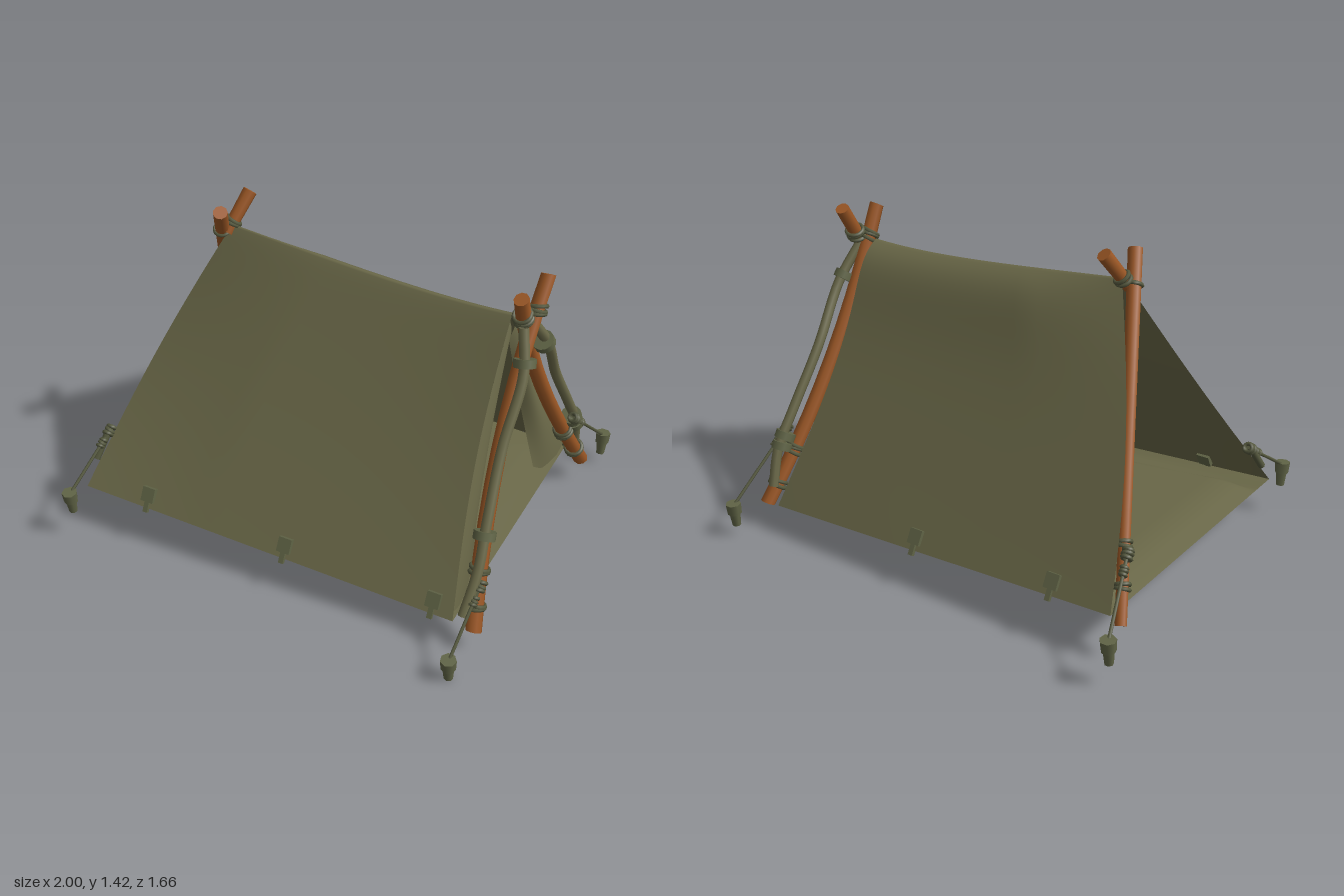
import * as THREE from 'three';

const DS = THREE.DoubleSide;
const canvas = new THREE.MeshStandardMaterial({ color: 0x6a6848, side: DS });
canvas.name = 'olive canvas';
const wood = new THREE.MeshStandardMaterial({ color: 0x9b5725 });
wood.name = 'brown wood';
const webbing = new THREE.MeshStandardMaterial({ color: 0x606446 });
webbing.name = 'olive webbing';
const cord = new THREE.MeshStandardMaterial({ color: 0x55583e });
cord.name = 'dark olive cord';

const V = (x, y, z) => new THREE.Vector3(x, y, z);
const { lerp, smoothstep, clamp } = THREE.MathUtils;
const UP = V(0, 1, 0);

function add(parent, name, geo, mat) {
  const m = new THREE.Mesh(geo, mat);
  m.name = name;
  parent.add(m);
  return m;
}

// Sheet whose points follow f(u, v), both running 0..1
function sheet(parent, name, nu, nv, f) {
  const g = new THREE.PlaneGeometry(1, 1, nu, nv);
  const p = g.attributes.position;
  for (let i = 0; i < p.count; i++) {
    const q = f(p.getX(i) + 0.5, 0.5 - p.getY(i));
    p.setXYZ(i, q.x, q.y, q.z);
  }
  g.computeVertexNormals();
  return add(parent, name, g, canvas);
}

// Round bar from a to b
function bar(parent, name, a, b, ra, rb, mat, sides = 9) {
  const m = add(parent, name, new THREE.CylinderGeometry(rb, ra, a.distanceTo(b), sides, 10), mat);
  m.position.copy(a).lerp(b, 0.5);
  m.quaternion.setFromUnitVectors(UP, b.clone().sub(a).normalize());
  return m;
}

// Pole that bows sideways in x between its ends
const bow = (p, t) => -p.bend * 4 * t * (1 - t);
const poleAt = (p, t) => p.a.clone().lerp(p.b, t).add(V(bow(p, t), 0, 0));
function pole(parent, name, p) {
  const m = bar(parent, name, p.a, p.b, p.radius, 0.031, wood);
  m.updateMatrix();
  m.geometry.applyMatrix4(m.matrix);
  m.position.set(0, 0, 0);
  m.quaternion.identity();
  const pos = m.geometry.attributes.position;
  for (let i = 0; i < pos.count; i++) {
    const t = clamp((pos.getY(i) - p.a.y) / (p.b.y - p.a.y), 0, 1);
    pos.setX(i, pos.getX(i) + bow(p, t));
  }
}

// Turns of cord around a line, centred at c
function wrap(parent, name, c, dir, radius, turns = 3, thick = 0.009) {
  for (let i = 0; i < turns; i++) {
    const m = add(parent, name, new THREE.TorusGeometry(radius, thick, 6, 14), cord);
    m.position.copy(c).addScaledVector(dir, (i - (turns - 1) / 2) * thick * 1.8);
    const tilt = dir.clone().add(V(0.12 * (i % 2 ? 1 : -1), 0, 0.08)).normalize();
    m.quaternion.setFromUnitVectors(V(0, 0, 1), tilt);
  }
}

// Shared outline of the cloth
const bottomY = x => lerp(0.21, 0.13, (x + 0.89) / 1.73);
const ridgeY = u => 1.298 - 0.125 * u + 0.05 * u ** 4;
const leftX = d => lerp(-0.5, -0.89, d) - 0.042 * Math.sin(Math.PI * d);
const rightX = d => lerp(0.755, 0.835, d) - 0.035 * Math.sin(Math.PI * d);

// Point on the roof: u along the ridge, d down the slope, s = 1 front, -1 back
function roofPoint(u, d, s) {
  const x = lerp(leftX(d), rightX(d), u);
  const hemZ = s > 0 ? lerp(0.68, 0.61, u) : -0.66;
  // the front sags inward at its left edge, the back is full below the ridge
  const sag = s > 0
    ? Math.sin(Math.PI * d) * lerp(0.055, 0.012, Math.min(1, u * 3))
    : -0.045 * Math.min(1, u * 3) * d * 10 * Math.exp(1 - d * 10);
  const y = lerp(ridgeY(u), bottomY(x), d) - 0.012 * Math.exp(-d * 30);
  return V(x, y, lerp(-0.02 * u, hemZ, d) - s * sag);
}

export function createModel() {
  const tent = new THREE.Group();
  tent.name = 'tent';

  // Roof cloth, finer near the rounded ridge
  sheet(tent, 'roofCloth', 24, 56, (u, v) => {
    const k = 1 - 2 * v;
    return roofPoint(u, Math.abs(k) ** 1.4, k >= 0 ? 1 : -1);
  });

  // Floor, raised inside a long fold that runs beside the front hem
  sheet(tent, 'floorCloth', 24, 60, (u, v) => {
    const x = lerp(-0.89, 0.835, u);
    const z = lerp(-0.66, lerp(0.68, 0.61, u), v);
    const foldV = lerp(0.9, 0.84, u);
    const step = smoothstep(v, foldV - 0.02, foldV + 0.02);
    const ends = smoothstep(u, 0, 0.08) * (1 - smoothstep(u, 0.9, 1));
    const rise = ends * lerp(0.037, 0.01, u) * smoothstep(v, 0, 0.1) * (1 - step);
    const lip = 0.018 * step * (1 - smoothstep(v, 0.97, 1)) * Math.sin(Math.PI * u);
    return V(x, bottomY(x) + rise - lip, z);
  });

  // Poles: a crossed pair at the right, one pole and a stub at the left
  const pf = { a: V(0.92, 0.1, 0.59), b: V(0.85, 1.36, -0.13), radius: 0.034, bend: 0.05 };
  const pb = { a: V(0.92, 0.11, -0.64), b: V(0.815, 1.34, 0.06), radius: 0.034, bend: 0.06 };
  const pl = { a: V(-0.92, 0.16, -0.63), b: V(-0.505, 1.385, 0.09), radius: 0.024, bend: 0 };
  const ps = { a: V(-0.525, 1.25, 0.015), b: V(-0.475, 1.405, -0.1), radius: 0.027, bend: 0 };
  [pf, pb, pl].forEach(p => pole(tent, 'pole', p));
  pole(tent, 'poleStub', ps);

  // Lashings where the poles cross and near their feet: pole, position, radius, turns
  const lashings = [
    [pf, 0.9, 0.037, 3], [pb, 0.9, 0.037, 3], [pl, 0.9, 0.032, 1], [ps, 0.25, 0.032, 2],
    [pf, 0.07, 0.037, 2], [pf, 0.17, 0.038, 2], [pb, 0.07, 0.037, 2], [pb, 0.19, 0.038, 3],
    [pl, 0.1, 0.028, 2], [pl, 0.21, 0.028, 2],
  ];
  for (const [p, t, r, n] of lashings) {
    wrap(tent, 'poleLashing', poleAt(p, t), p.b.clone().sub(p.a).normalize(), r, n);
  }

  // Right end: tied-back door flaps, rolled cloth and straps
  for (const s of [1, -1]) {
    const side = s > 0 ? 'front' : 'back';
    const inner = s > 0 ? 0.27 : 0.39;
    const curve = s > 0 ? 0.01 : 0.05;
    sheet(tent, side + 'DoorFlap', 12, 20, (u, v) => {
      const edge = roofPoint(1, lerp(0.03, 0.97, v), s);
      const zIn = s * (inner * v + curve * Math.sin(Math.PI * v));
      const lift = v * v * (s > 0 ? 0.08 : 0.02) * u ** 4;
      const dip = -0.045 * v * v * Math.sin(Math.PI * u);
      const out = 0.03 * Math.sin(Math.PI * u) * Math.sin(Math.PI * Math.min(1, v * 0.8 + 0.1));
      return V(edge.x + out - 0.05 * u * v, Math.max(0.118, edge.y + lift + dip - 0.08 * u * (1 - v)),
        lerp(edge.z, zIn, u));
    });

    // Gathered cloth beside the pole
    const shift = s > 0 ? -0.005 : 0.045;
    const roll = new THREE.CatmullRomCurve3([
      V(0.825, 1.2, s * 0.035), V(0.865, 1.03, s * (0.11 + shift)), V(0.86, 0.78, s * (0.27 + shift)),
      V(0.88, 0.53, s * (0.43 + shift)), V(0.895, 0.36, s * (0.53 + shift)), V(0.885, 0.2, s * 0.63),
    ]);
    add(tent, side + 'RolledCloth', new THREE.TubeGeometry(roll, 28, 0.022, 8), canvas);

    // Straps holding the roll to the pole
    for (const t of s > 0 ? [0.16, 0.66] : [0.18, 0.74, 0.79]) {
      const strap = add(tent, side + 'Strap', new THREE.CylinderGeometry(0.046, 0.046, 0.035, 12), webbing);
      strap.position.copy(roll.getPoint(t)).add(V(-0.005, 0, -s * 0.016));
      strap.quaternion.setFromUnitVectors(UP, roll.getTangent(t));
    }
  }

  // Guy lines and ground pegs at the four corners
  const guys = [
    { peg: V(0.9, 0.1, 0.79), tie: V(0.915, 0.3, 0.54) },
    { peg: V(0.968, 0.15, -0.8), tie: V(0.91, 0.43, -0.5) },
    { peg: V(-0.968, 0.2, -0.8), tie: V(-0.885, 0.42, -0.54) },
    { peg: V(-0.9, 0.24, 0.79), tie: V(-0.86, 0.42, 0.52) },
  ];
  guys.forEach(({ peg, tie }) => {
    const stake = new THREE.Group();
    stake.name = 'groundPeg';
    stake.position.copy(peg);
    stake.rotation.x = Math.sign(peg.z) * 0.1;
    add(stake, 'pegHead', new THREE.CylinderGeometry(0.034, 0.031, 0.05, 7), webbing).position.y = -0.012;
    add(stake, 'pegShaft', new THREE.CylinderGeometry(0.025, 0.019, 0.07, 7), webbing).position.y = -0.063;
    tent.add(stake);
    bar(tent, 'guyLine', peg, tie, 0.007, 0.007, cord, 6);
    const dir = tie.clone().sub(peg).normalize();
    wrap(tent, 'guyKnot', peg.clone().lerp(tie, 0.8), dir, 0.012, 3, 0.008);
    wrap(tent, 'guyKnot', tie, dir, 0.018, 3);
  });

  // Cord toggle at the left edge of the front cloth
  bar(tent, 'edgeToggle', V(-0.885, 0.31, 0.6), V(-0.86, 0.43, 0.52), 0.016, 0.016, cord, 7);

  // Hem clips with short tabs
  const clips = [[-0.59, 1], [0.07, 1], [0.74, 1], [-0.61, -1], [0.07, -1]];
  for (const [x, s] of clips) {
    const p = roofPoint((x + 0.89) / 1.725, 0.965, s);
    const clip = new THREE.Group();
    clip.name = 'hemClip';
    clip.position.set(x, p.y, p.z);
    clip.rotation.x = -s * 0.5;
    add(clip, 'clipBody', new THREE.BoxGeometry(0.06, 0.064, 0.034), webbing).position.y = 0.014;
    add(clip, 'clipTab', new THREE.BoxGeometry(0.022, 0.05, 0.016), webbing).position.set(0, -0.04, s * 0.005);
    tent.add(clip);
  }

  return tent;
}
